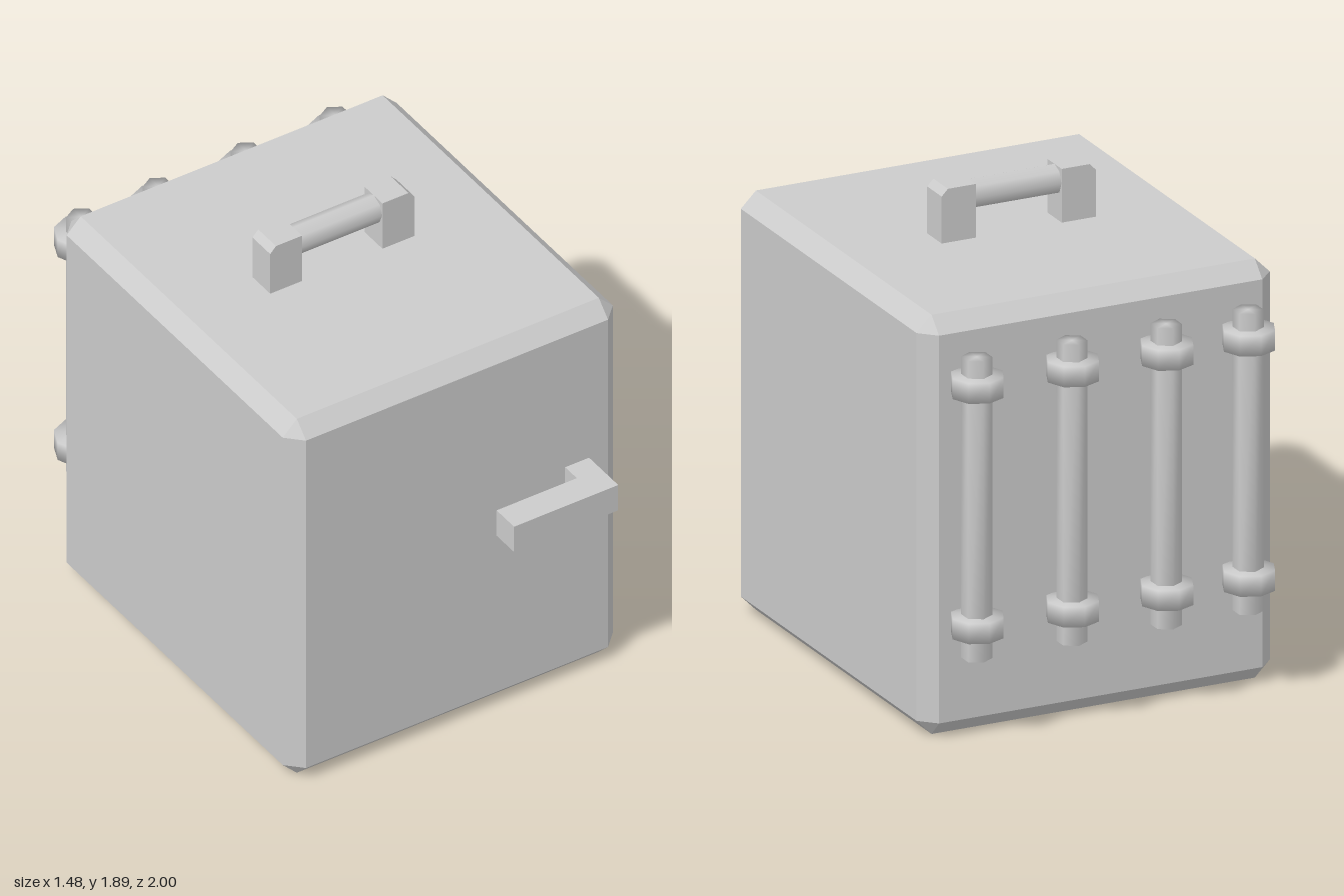
import * as THREE from 'three';
import { ConvexGeometry } from 'three/addons/geometries/ConvexGeometry.js';
import { mergeVertices } from 'three/addons/utils/BufferGeometryUtils.js';

const grey = new THREE.MeshStandardMaterial({ color: 0xcccccc });

function add(parent, name, geometry, x = 0, y = 0, z = 0) {
  const mesh = new THREE.Mesh(geometry, grey);
  mesh.name = name;
  mesh.position.set(x, y, z);
  parent.add(mesh);
  return mesh;
}

// Box with every edge cut off at 45 degrees
function chamferedBox(w, h, d, c) {
  const points = [];
  for (const sx of [-1, 1]) for (const sy of [-1, 1]) for (const sz of [-1, 1]) {
    const x = w / 2, y = h / 2, z = d / 2;
    points.push(
      new THREE.Vector3(sx * x, sy * (y - c), sz * (z - c)),
      new THREE.Vector3(sx * (x - c), sy * y, sz * (z - c)),
      new THREE.Vector3(sx * (x - c), sy * (y - c), sz * z));
  }
  return new ConvexGeometry(points);
}

// Low-sided cylinder shaded smoothly across its rims
function softCylinder(r, h, sides) {
  const g = new THREE.CylinderGeometry(r, r, h, sides);
  g.deleteAttribute('normal');
  g.deleteAttribute('uv');
  const merged = mergeVertices(g);
  merged.computeVertexNormals();
  return merged;
}

// Outline extruded without bevel, centred on its depth
function slab(points, depth) {
  const shape = new THREE.Shape(points.map(([x, y]) => new THREE.Vector2(x, y)));
  return new THREE.ExtrudeGeometry(shape, { depth, bevelEnabled: false }).translate(0, 0, -depth / 2);
}

export function createModel() {
  const model = new THREE.Group();
  model.name = 'cabinet';

  // Main body
  add(model, 'body', chamferedBox(1.48, 1.68, 1.608, 0.063), 0, 0.84, -0.004);

  // Carrying handle on the lid
  const handle = new THREE.Group();
  handle.name = 'carryHandle';
  handle.position.set(-0.018, 0, -0.02);
  model.add(handle);
  const post = [[0.18, 1.67], [0.323, 1.67], [0.323, 1.868], [0.297, 1.895], [0.18, 1.895]];
  add(handle, 'leftPost', slab(post, 0.122));
  add(handle, 'rightPost', slab(post.map(([x, y]) => [-x, y]), 0.122));
  const grip = new THREE.CylinderGeometry(0.059, 0.059, 0.37, 8);
  add(handle, 'grip', grip, 0, 1.836, 0).rotation.z = Math.PI / 2;

  // L-shaped door latch, outline drawn in plan
  const latch = slab([[0.125, -1], [0.592, -1], [0.592, -0.79], [0.485, -0.79], [0.485, -0.88], [0.125, -0.88]], 0.12);
  add(model, 'doorLatch', latch, 0, 0.938, 0).rotation.x = -Math.PI / 2;

  // Upright pipes with two collars each on the back
  const rod = softCylinder(0.059, 1.206, 6);
  const collar = softCylinder(0.104, 0.081, 8);
  for (const x of [-0.577, -0.234, 0.161, 0.56]) {
    const pipe = new THREE.Group();
    pipe.name = 'backPipe';
    pipe.position.set(x, 0, -0.89);
    model.add(pipe);
    add(pipe, 'rod', rod, 0, 0.938, 0);
    add(pipe, 'lowerCollar', collar, 0, 0.468, -0.006);
    add(pipe, 'upperCollar', collar, 0, 1.431, -0.006);
  }
  return model;
}
